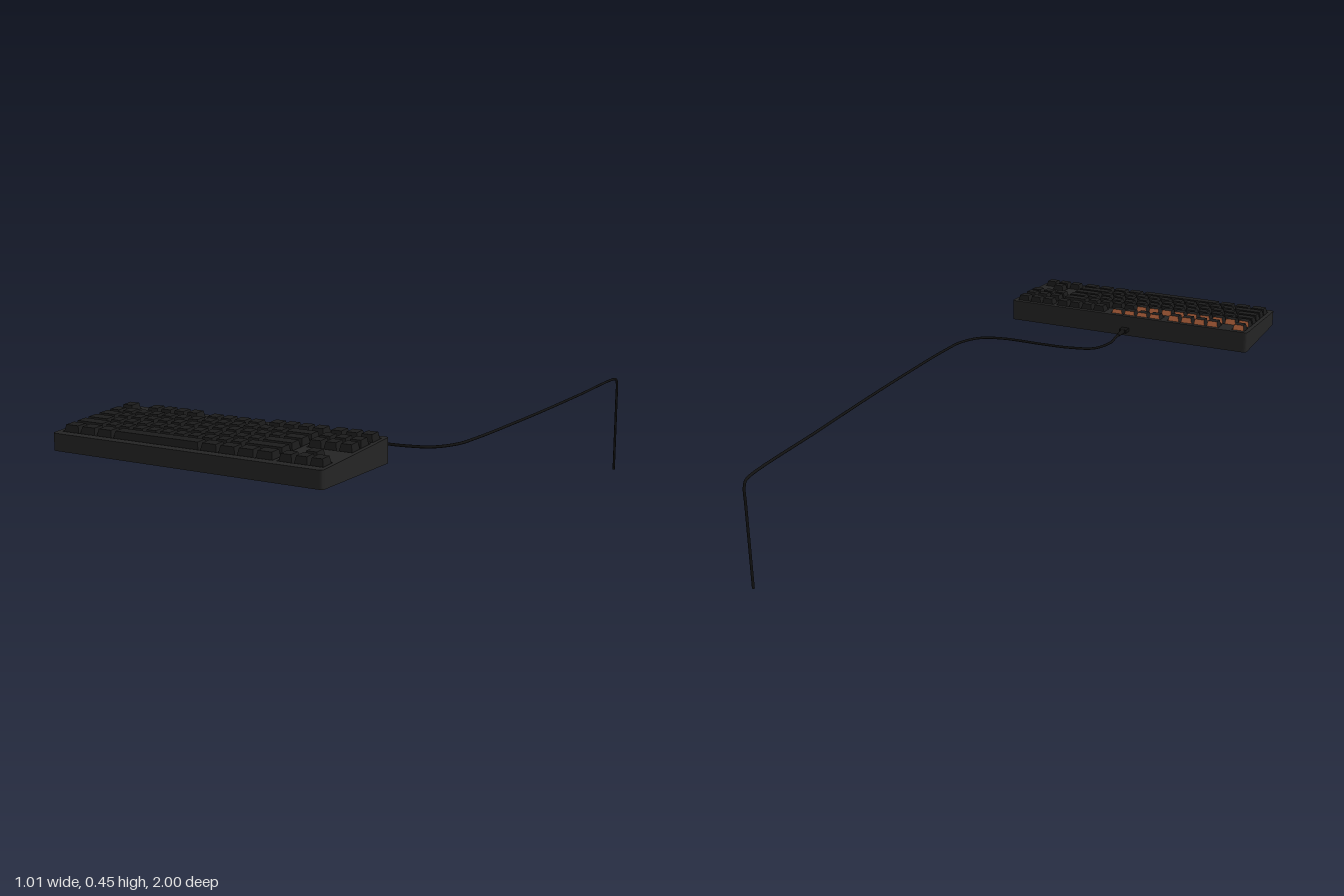
import * as THREE from 'three';

const U = 0.0494, X0 = -0.495, Z0 = 0.665;          // key pitch and corner of the key field
const BASE = 0.357, BACK = 0.645, FRONT = 1.0;
const rimY = (z) => 0.41 + ((FRONT - z) / (FRONT - BACK)) * 0.022; // sloping top of the case

const mat = (name, color) => {
  const m = new THREE.MeshStandardMaterial({ color });
  m.name = name;
  return m;
};

function roundedRect(x0, x1, z0, z1, r) {
  const s = new THREE.Shape(), a = -z1, b = -z0;
  s.moveTo(x0 + r, a);
  s.lineTo(x1 - r, a); s.quadraticCurveTo(x1, a, x1, a + r);
  s.lineTo(x1, b - r); s.quadraticCurveTo(x1, b, x1 - r, b);
  s.lineTo(x0 + r, b); s.quadraticCurveTo(x0, b, x0, b - r);
  s.lineTo(x0, a + r); s.quadraticCurveTo(x0, a, x0 + r, a);
  return s;
}

// Outline through key-unit points (column, row)
const unitPath = (pts) =>
  new THREE.Path(pts.map(([c, r]) => new THREE.Vector2(X0 + c * U, -(Z0 + r * U))));
const unitRect = (c0, c1, r0, r1) => unitPath([[c0, r0], [c0, r1], [c1, r1], [c1, r0]]);

// Extrude upward, then set the heights of both ends by rule
function slab(shape, bottom, top) {
  const g = new THREE.ExtrudeGeometry(shape, { depth: 1, bevelEnabled: false, curveSegments: 4 });
  g.rotateX(-Math.PI / 2);
  const p = g.attributes.position;
  for (let i = 0; i < p.count; i++) {
    p.setY(i, p.getY(i) > 0.5 ? top(p.getZ(i)) : bottom(p.getZ(i)));
  }
  g.computeVertexNormals();
  return g;
}

// Tapered keycap following the slope of the case
function keycap(col, row, w, rise) {
  const width = w * U - 0.003, depth = U - 0.003;
  const cx = X0 + (col + w / 2) * U, cz = Z0 + (row + 0.5) * U;
  const g = new THREE.BoxGeometry(width, 1, depth);
  const p = g.attributes.position;
  for (let i = 0; i < p.count; i++) {
    const top = p.getY(i) > 0;
    const x = cx + p.getX(i) * (top ? (width - 0.013) / width : 1);
    const z = cz + p.getZ(i) * (top ? 0.74 : 1) - (top ? 0.002 : 0);
    p.setXYZ(i, x, rimY(z) + (top ? rise : -0.013), z);
  }
  g.computeVertexNormals();
  return g;
}

export function createModel() {
  const group = new THREE.Group();
  const caseMat = mat('charcoal case', 0x242424);
  const keyMat = mat('black keycap', 0x1b1b1b);
  const cableMat = mat('cable black', 0x111111);
  const orange = mat('copper orange', 0xc06a42);

  const add = (name, geo, material, parent = group) => {
    const m = new THREE.Mesh(geo, material);
    m.name = name;
    parent.add(m);
    return m;
  };

  // Case: solid lower body and a frame with wells for the key clusters
  const outline = () => roundedRect(-0.51, 0.42, BACK, FRONT, 0.012);
  const floorY = (z) => rimY(z) - 0.014;
  add('caseBody', slab(outline(), () => BASE, floorY), caseMat);
  const frame = outline();
  frame.holes.push(
    unitRect(0, 1, 0, 1), unitRect(2, 6, 0, 1), unitRect(6.5, 10.5, 0, 1),
    unitRect(11, 15, 0, 1), unitRect(15.25, 18.25, 0, 1),
    unitRect(0, 15, 1.25, 6.25), unitRect(15.25, 18.25, 1.25, 3.25),
    unitPath([[15.25, 5.25], [15.25, 6.25], [18.25, 6.25], [18.25, 5.25],
      [17.25, 5.25], [17.25, 4.25], [16.25, 4.25], [16.25, 5.25]]),
  );
  add('caseFrame', slab(frame, floorY, rimY), caseMat);

  // Rubber feet
  for (const x of [-0.43, 0.34]) {
    for (const z of [0.69, 0.965]) {
      const foot = add('foot', new THREE.BoxGeometry(0.11, 0.005, 0.025), cableMat);
      foot.position.set(x, BASE - 0.0015, z);
    }
  }

  // Keys: [first column, row, widths]
  const ones = (n) => Array(n).fill(1);
  const clusters = [
    [0, 0, [1]], [2, 0, ones(4)], [6.5, 0, ones(4)], [11, 0, ones(4)], [15.25, 0, ones(3)],
    [0, 1.25, [...ones(13), 2]],
    [0, 2.25, [1.5, ...ones(12), 1.5]],
    [0, 3.25, [1.75, ...ones(11), 2.25]],
    [0, 4.25, [2.25, ...ones(10), 2.75]],
    [0, 5.25, [1.25, 1.25, 1.25, 6.25, 1.25, 1.25, 1.25, 1.25]],
    [15.25, 1.25, ones(3)], [15.25, 2.25, ones(3)],
    [16.25, 4.25, [1]], [15.25, 5.25, ones(3)],
  ];
  const keys = new THREE.Group();
  keys.name = 'keys';
  group.add(keys);
  // Some keys in the two rear rows have a copper back face
  const copperBack = [keyMat, keyMat, keyMat, keyMat, keyMat, orange];
  for (const [start, row, widths] of clusters) {
    let col = start;
    for (const w of widths) {
      const marked = (row === 0 && col < 10.5) || (row === 1.25 && col < 9);
      const rise = row === 0 && col >= 6.5 && col < 10.5 ? 0.014 : 0.019;
      add('key', keycap(col, row, w, rise), marked ? copperBack : keyMat, keys);
      col += w;
    }
  }

  // Plug at the back of the case
  const plug = add('plug', new THREE.BoxGeometry(0.028, 0.013, 0.035), cableMat);
  plug.position.set(-0.045, 0.381, 0.632);
  const relief = add('strainRelief', new THREE.CylinderGeometry(0.006, 0.009, 0.05, 10), cableMat);
  relief.rotation.x = -Math.PI / 2;
  relief.position.set(-0.045, 0.381, 0.595);

  // Cable running over the desk and down behind it
  const path = new THREE.CatmullRomCurve3([
    [-0.045, 0.381, 0.62], [-0.045, 0.38, 0.55], [-0.042, 0.372, 0.51], [0, 0.359, 0.463],
    [0.09, 0.356, 0.437], [0.2, 0.356, 0.43], [0.35, 0.356, 0.427], [0.43, 0.356, 0.4],
    [0.475, 0.356, 0.33], [0.489, 0.356, 0.22], [0.497, 0.356, -0.05], [0.499, 0.356, -0.3],
    [0.496, 0.356, -0.6], [0.492, 0.356, -0.965], [0.492, 0.349, -0.987],
    [0.492, 0.33, -0.9955], [0.492, 0.28, -0.9955], [0.492, 0, -0.9955],
  ].map((p) => new THREE.Vector3(...p)), false, 'centripetal');
  add('cable', new THREE.TubeGeometry(path, 300, 0.0045, 8), cableMat);
  const end = add('cableEnd', new THREE.CircleGeometry(0.0045, 8), cableMat);
  end.rotation.x = Math.PI / 2;
  end.position.set(0.492, 0, -0.9955);

  return group;
}
